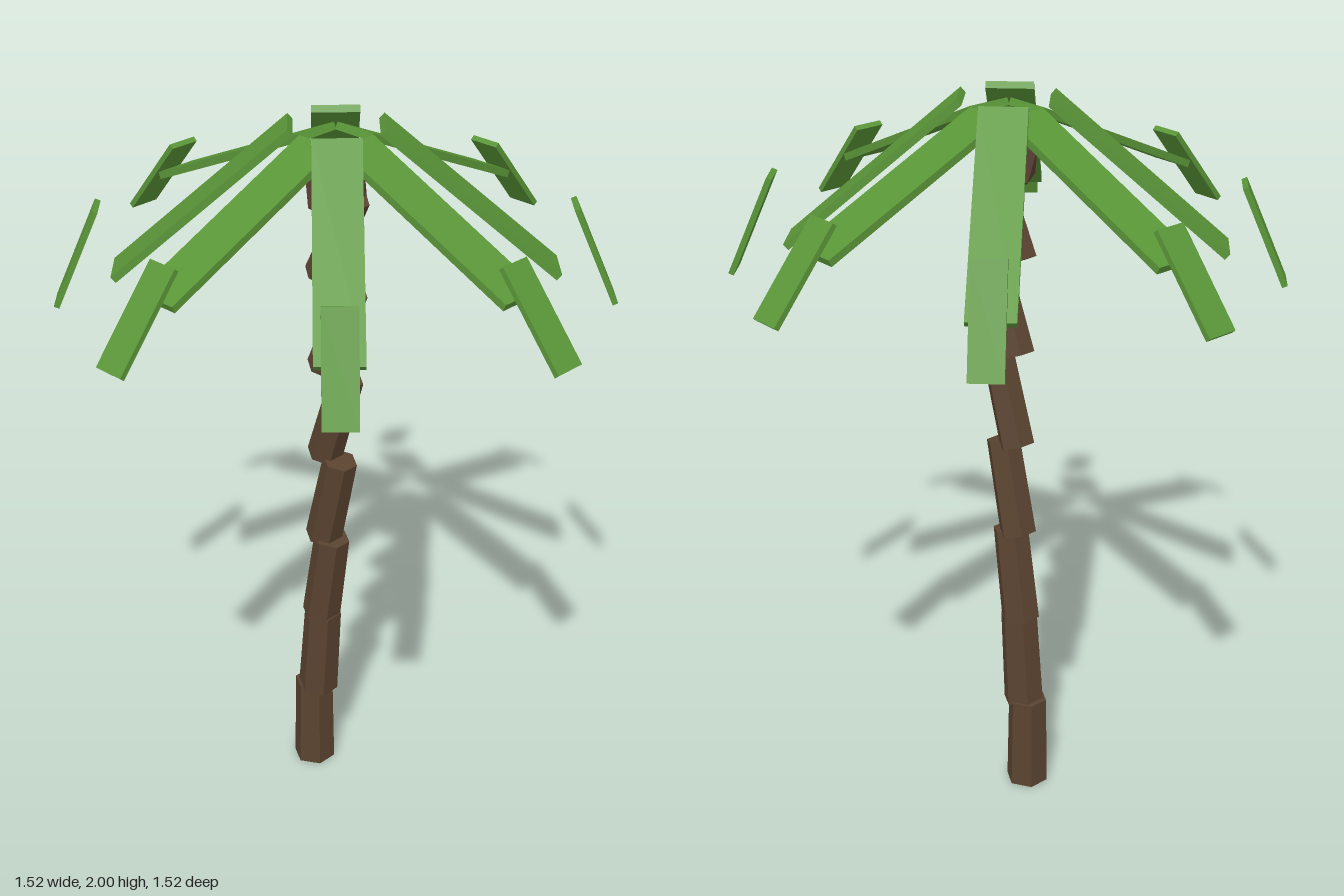
import * as THREE from 'three';

const material = (name, color) => {
  const m = new THREE.MeshStandardMaterial({ color, flatShading: true });
  m.name = name;
  return m;
};

export function createModel() {
  const palm = new THREE.Group();
  palm.name = 'palmTree';
  const bark = material('bark brown', 0x5a4330);
  const heart = material('crown brown', 0x5c4033);
  const leaf = material('leaf green', 0x5a9638);

  const add = (parent, name, geometry, mat, x, y, tilt) => {
    const mesh = new THREE.Mesh(geometry, mat);
    mesh.name = name;
    mesh.position.set(x, y, 0);
    mesh.rotation.z = -tilt;
    parent.add(mesh);
  };

  // Trunk: tapered six-sided segments, each leaning further than the one below
  const trunk = new THREE.Group();
  trunk.name = 'trunk';
  palm.add(trunk);
  [-0.09, -0.063, -0.038, -0.017, -0.002, 0.005, 0.004].forEach((x, i) => {
    const r = 0.06 - 0.0027 * i;
    add(trunk, `trunkSegment${i + 1}`, new THREE.CylinderGeometry(r * 0.92, r, 0.27, 6),
      bark, x, 0.135 + 0.26 * i, 0.078 * i);
  });

  // Crown heart: icosahedron with a corner pointing up
  const upright = Math.atan(2 / (1 + Math.sqrt(5)));
  add(palm, 'crownHeart', new THREE.IcosahedronGeometry(0.089), heart, 0, 1.825, upright);

  // Fronds: a wide inner blade and a detached steeper tip, alternating shallow and steep
  const bladeGeometry = new THREE.BoxGeometry(0.595, 0.02, 0.124);
  const tipGeometry = new THREE.BoxGeometry(0.284, 0.015, 0.087);
  for (let i = 0; i < 8; i++) {
    const frond = new THREE.Group();
    frond.name = `frond${i + 1}`;
    frond.rotation.y = (i * Math.PI) / 4;
    if (i % 2 === 0) {
      add(frond, 'frondBlade', bladeGeometry, leaf, 0.335, 1.834, 0.425);
      add(frond, 'frondTip', tipGeometry, leaf, 0.665, 1.687, 0.88);
    } else {
      add(frond, 'frondBlade', bladeGeometry, leaf, 0.34, 1.798, 0.71);
      add(frond, 'frondTip', tipGeometry, leaf, 0.66, 1.65, 1.16);
    }
    palm.add(frond);
  }
  return palm;
}
